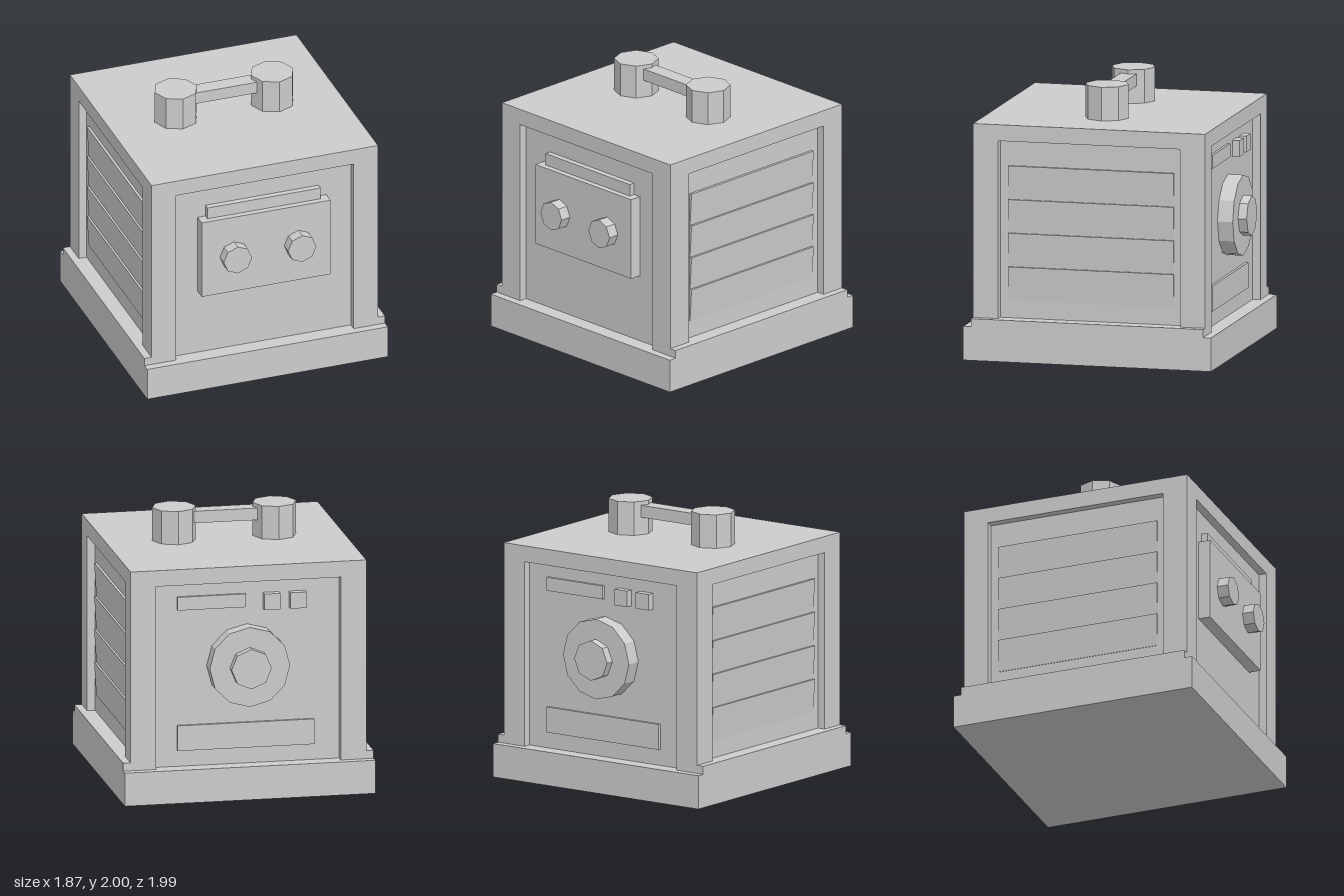
import * as THREE from 'three';

export function createModel() {
  const model = new THREE.Group();
  model.name = 'heaterBox';
  const grey = new THREE.MeshStandardMaterial({ color: 0xcccccc });
  grey.name = 'lightGrey';
  grey.flatShading = true;

  const add = (name, geometry) => {
    const mesh = new THREE.Mesh(geometry, grey);
    mesh.name = name;
    model.add(mesh);
    return mesh;
  };
  // box given by its extents on each axis
  const box = (name, x0, x1, y0, y1, z0, z1) => {
    const mesh = add(name, new THREE.BoxGeometry(x1 - x0, y1 - y0, z1 - z0));
    mesh.position.set((x0 + x1) / 2, (y0 + y1) / 2, (z0 + z1) / 2);
    return mesh;
  };
  // faceted cylinder along z, with corners on the axes
  const knob = (name, x, y, r, z0, z1, sides) => {
    const geometry = new THREE.CylinderGeometry(r, r, z1 - z0, sides).rotateX(Math.PI / 2);
    add(name, geometry).position.set(x, y, (z0 + z1) / 2);
  };

  // Base and cabinet with recessed walls
  box('base', -0.935, 0.935, 0, 0.25, -0.935, 0.94);
  box('core', -0.82, 0.82, 0.25, 1.63, -0.815, 0.82);
  box('topSlab', -0.88, 0.88, 1.63, 1.75, -0.875, 0.88);
  for (const s of [-1, 1]) {
    for (const t of [-1, 1]) {
      const post = box('cornerPost', 0.69, 0.88, 0.25, 1.63, 0.69, 0.88);
      post.position.x *= s;
      post.position.z = t > 0 ? 0.785 : -0.78;
    }
    const ledge = box('sideLedge', 0.8, 0.935, 0.25, 0.31, -0.875, 0.88);
    ledge.position.x *= s;
  }

  // Louvred side panels: four shallow slats with upward-facing ledges
  const louvre = new THREE.Shape();
  const slats = 4, pitch = 0.25;
  louvre.moveTo(0, 0.44);
  for (let i = 0; i < slats; i++) {
    const y = 0.44 + i * pitch;
    louvre.lineTo(0.004, y);
    louvre.lineTo(0.02, y + pitch);
  }
  louvre.lineTo(0, 0.44 + slats * pitch);
  const louvreGeometry = new THREE.ExtrudeGeometry(louvre, { depth: 1.25, bevelEnabled: false });
  louvreGeometry.translate(0.82, 0, -0.625);
  add('louvrePanel', louvreGeometry);
  add('louvrePanel', louvreGeometry).rotation.y = Math.PI;

  // Front control panel with hood and two knobs
  box('controlPanel', -0.5, 0.5, 0.76, 1.38, 0.82, 0.91);
  box('panelHood', -0.44, 0.44, 1.38, 1.47, 0.82, 0.865);
  for (const s of [-1, 1]) knob('controlKnob', s * 0.25, 1.065, 0.11, 0.91, 0.995, 8);

  // Carrying handle
  for (const s of [-1, 1]) {
    add('handlePost', new THREE.CylinderGeometry(0.163, 0.163, 0.25, 8))
      .position.set(s * 0.375, 1.875, 0);
  }
  box('handleBar', -0.24, 0.24, 1.88, 1.97, -0.06, 0.06);

  // Rear dial, plates and buttons
  knob('rearDial', 0, 1, 0.3, -0.93, -0.815, 12);
  knob('rearDialHub', 0, 1, 0.15, -0.995, -0.93, 8);
  box('rearUpperPlate', 0.01, 0.52, 1.43, 1.53, -0.835, -0.815);
  box('rearLowerPlate', -0.5, 0.52, 0.37, 0.56, -0.835, -0.815);
  for (const x of [-0.18, -0.375]) {
    box('rearButton', x - 0.06, x + 0.06, 1.41, 1.53, -0.87, -0.815);
  }

  return model;
}
